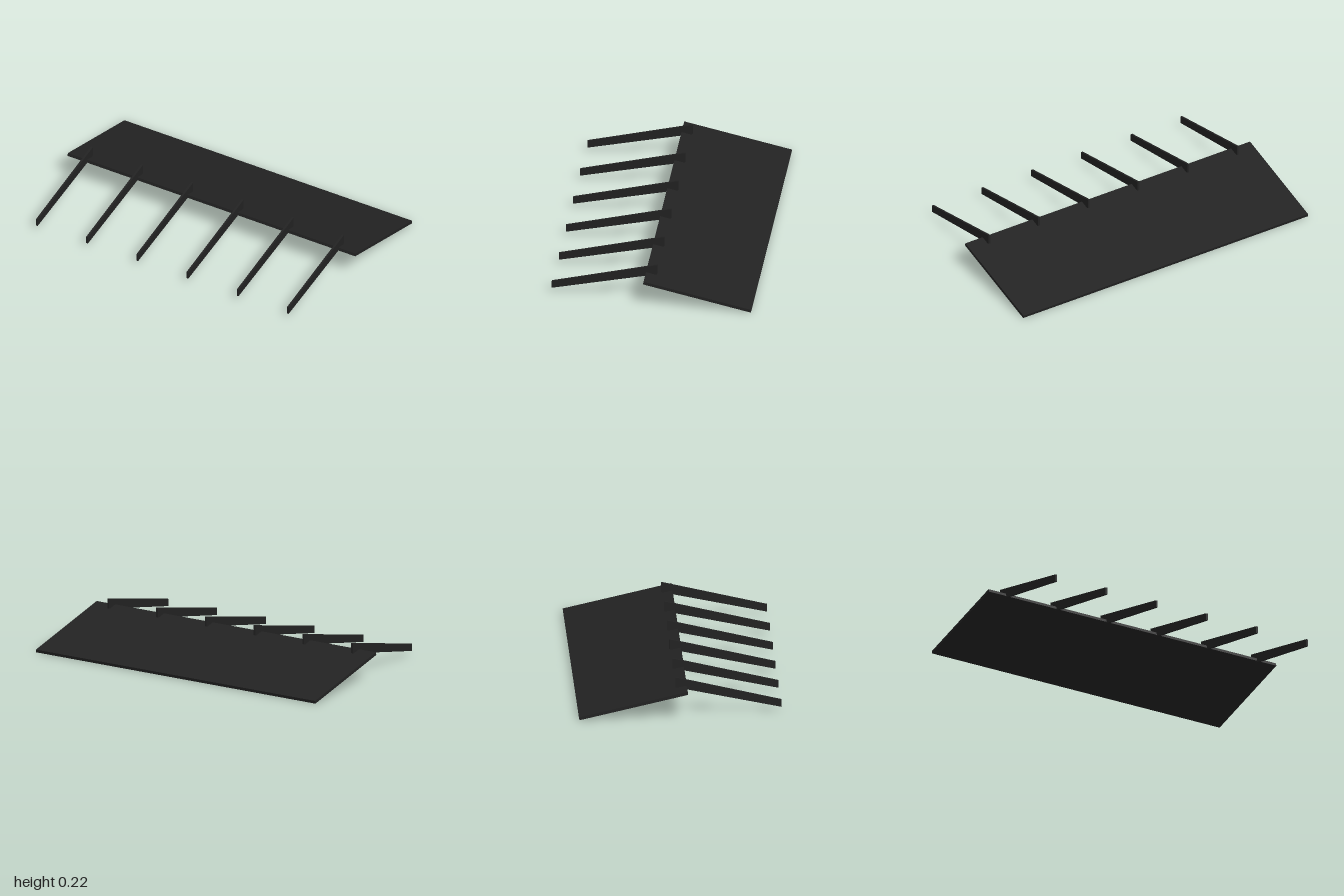
import * as THREE from 'three';

export function createModel() {
  const group = new THREE.Group();
  const charcoal = new THREE.MeshStandardMaterial({ color: 0x222222 });
  charcoal.name = 'charcoal';

  // Sloping roof slab, falling towards the back
  const slab = new THREE.Mesh(new THREE.BoxGeometry(2, 0.018, 0.663), charcoal);
  slab.name = 'roofPanel';
  slab.rotation.x = -0.226;
  slab.position.set(0, 0.083, -0.28);
  group.add(slab);

  // Tapered rafter outline, drawn as (z, y) with upright end cuts
  const outline = new THREE.Shape([
    new THREE.Vector2(0.605, 0.023),
    new THREE.Vector2(0.605, 0.068),
    new THREE.Vector2(-0.025, 0.217),
    new THREE.Vector2(-0.025, 0.156),
  ]);
  const thickness = 0.012;
  const rafterGeometry = new THREE.ExtrudeGeometry(outline, { depth: thickness, bevelEnabled: false });
  rafterGeometry.translate(0, 0, -thickness / 2);
  rafterGeometry.rotateY(-Math.PI / 2); // outline x becomes +z

  // Six evenly spaced rafters reaching forward
  for (let i = 0; i < 6; i++) {
    const rafter = new THREE.Mesh(rafterGeometry, charcoal);
    rafter.name = `rafter${i + 1}`;
    rafter.position.x = -0.873 + i * 0.3492;
    group.add(rafter);
  }
  return group;
}
